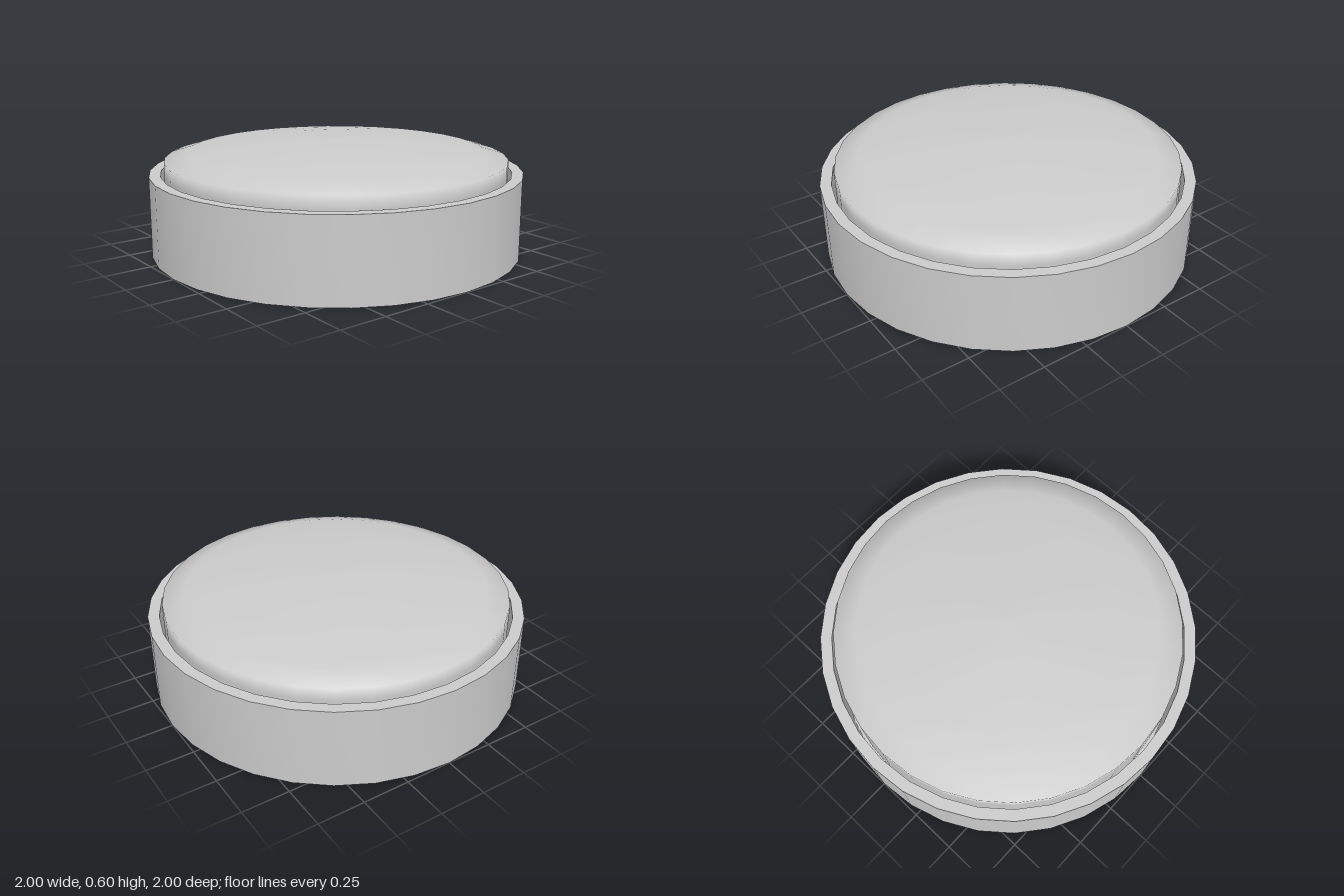
import * as THREE from 'three';
import { toCreasedNormals } from 'three/addons/utils/BufferGeometryUtils.js';

const SIDES = 32;

// Revolve a list of [radius, height] points around the y axis
const revolve = (profile) =>
  new THREE.LatheGeometry(profile.map(([r, y]) => new THREE.Vector2(r, y)), SIDES);

export function createModel() {
  const group = new THREE.Group();
  group.name = 'domedButton';
  const material = new THREE.MeshStandardMaterial({ color: 0xcccccc });

  const add = (name, geometry) => {
    const mesh = new THREE.Mesh(geometry, material);
    mesh.name = name;
    group.add(mesh);
  };

  // Open-topped housing with sharp edges: underside, wall, rim, inner wall, floor
  add('housing', toCreasedNormals(revolve([
    [0, 0], [1, 0], [1, 0.43], [0.94, 0.43], [0.94, 0.06], [0, 0.06],
  ]), 0.5));

  // Domed cap sitting inside, smooth over its shoulder, with a narrow gap around it
  add('domedCap', revolve([
    [0.92, 0.06], [0.92, 0.43], [0.92, 0.497], [0.8, 0.533],
    [0.6, 0.555], [0.4, 0.574], [0.2, 0.588], [0, 0.595],
  ]));

  return group;
}
